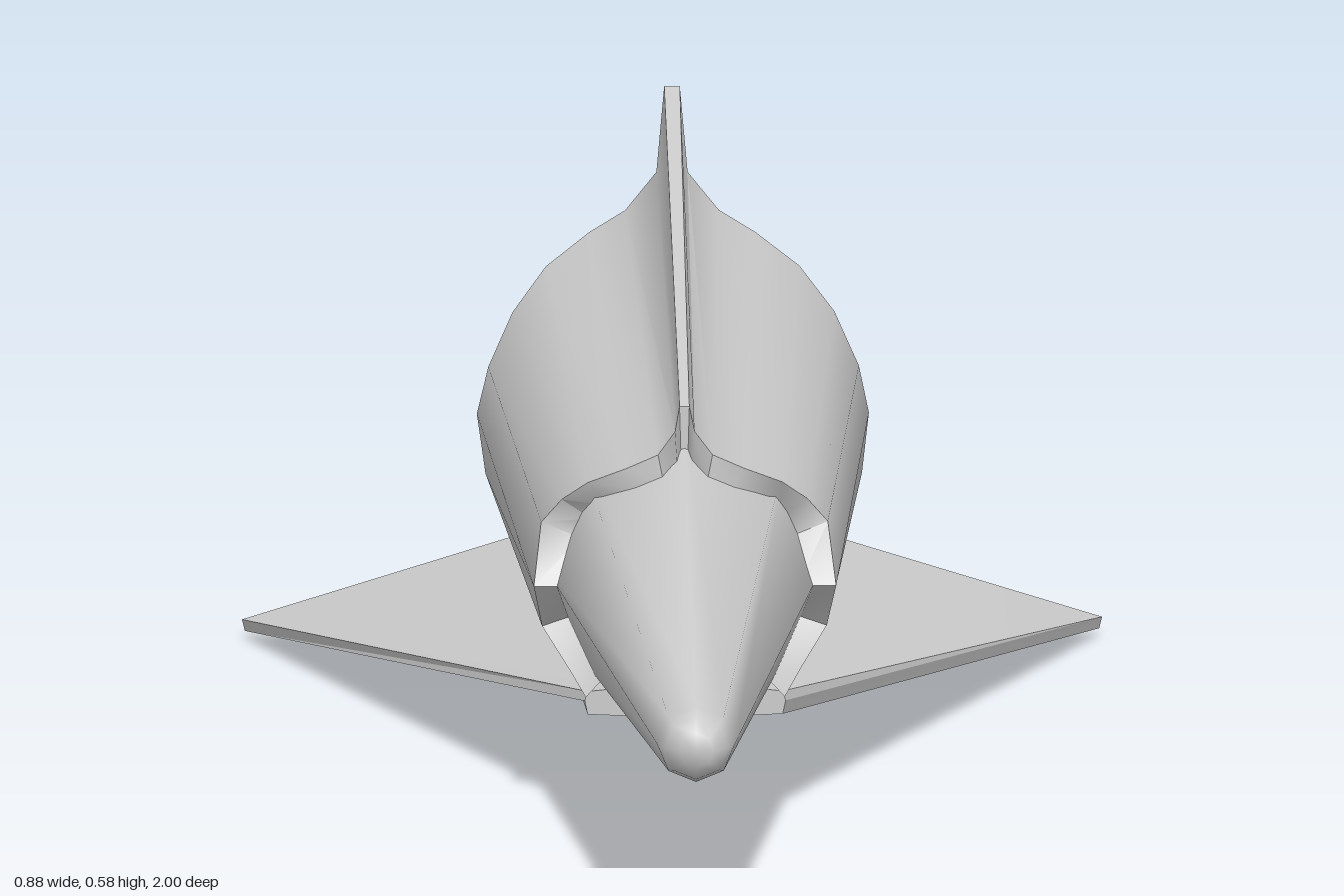
import * as THREE from 'three';
import { toCreasedNormals } from 'three/addons/utils/BufferGeometryUtils.js';

const AXIS = 0.25; // height of the hull's centre line
const material = new THREE.MeshStandardMaterial({ color: 0xcccccc, side: THREE.DoubleSide });

function addMesh(parent, name, geometry) {
  const mesh = new THREE.Mesh(geometry, material);
  mesh.name = name;
  parent.add(mesh);
}

// Skin over rows of points running front to rear, each counterclockwise from the front
function skin(rows, closed, crease) {
  const n = rows[0].length;
  const index = [];
  for (let r = 0; r < rows.length - 1; r++) {
    for (let i = 0; i < (closed ? n : n - 1); i++) {
      const a = r * n + i, b = r * n + (i + 1) % n;
      index.push(a, a + n, b + n, a, b + n, b);
    }
  }
  const geometry = new THREE.BufferGeometry();
  geometry.setAttribute('position', new THREE.Float32BufferAttribute(rows.flat(2), 3));
  geometry.setIndex(index);
  return toCreasedNormals(geometry, crease);
}

const mirror = (row) => row.map(([x, y, z]) => [-x, y, z]).reverse();

// Point drawn in to a given radius around the hull's axis
function inward([x, y, z], radius) {
  const k = radius / Math.hypot(x, y - AXIS);
  return [x * k, AXIS + (y - AXIS) * k, z];
}

const centre = (row) => {
  const c = [0, 1, 2].map((k) => row.reduce((s, p) => s + p[k], 0) / row.length);
  return row.map(() => c);
};

export function createModel() {
  const model = new THREE.Group();
  model.name = 'rocketPlane';

  // Eight-sided hull with rounded nose and tapered tail
  const profile = [[0, -1], [0.1, -1], [0.19, -0.7], [0.155, 0], [0.04, 0.965], [0.033, 0.985], [0.018, 1], [0, 1]];
  const hull = new THREE.LatheGeometry(profile.map(([r, z]) => new THREE.Vector2(r, z)), 8);
  hull.rotateX(Math.PI / 2).translate(0, AXIS, 0);
  addMesh(model, 'hull', toCreasedNormals(hull, 0.85));

  // Shell wrapped over the hull with a blended tail fin and notched ends,
  // from wing root up to fin tip
  const frontHalf = [
    [0.102, 0.138, 0.22], [0.118, 0.16, 0.19], [0.146, 0.2, 0.16], [0.155, 0.25, 0.2],
    [0.147, 0.31, 0.165], [0.126, 0.335, 0.17], [0.1, 0.36, 0.205], [0.06, 0.378, 0.22],
    [0.028, 0.392, 0.22], [0.01, 0.41, 0.19], [0.005, 0.43, 0.16],
  ];
  const rearHalf = [
    [0.142, 0.11, -0.66], [0.167, 0.14, -0.6], [0.193, 0.2, -0.58], [0.201, 0.25, -0.64],
    [0.19, 0.31, -0.59], [0.165, 0.365, -0.6], [0.13, 0.4, -0.66], [0.085, 0.427, -0.7],
    [0.048, 0.45, -0.7], [0.016, 0.49, -0.7], [0.008, 0.58, -0.7],
  ];
  const front = [...frontHalf, ...mirror(frontHalf)];
  const rear = [...rearHalf, ...mirror(rearHalf)];
  addMesh(model, 'shellWithFin', skin([
    front.map((p) => inward(p, 0.116)), front, rear, rear.map((p) => inward(p, 0.163)),
  ], false, 0.75));

  // Swept delta wings with a keel along the inner lower edge
  const wingFront = [[0.055, 0.116], [0.1, 0.118], [0.103, 0.132], [0.1, 0.142], [0.062, 0.146]]
    .map(([x, y]) => [x, y, 0.21]);
  const wingRear = [[0.045, 0.075], [0.112, 0.002], [0.438, 0.01], [0.441, 0.022], [0.1, 0.128]]
    .map(([x, y]) => [x, y, -0.7]);
  const wingRows = [centre(wingFront), wingFront, wingRear, centre(wingRear)];
  addMesh(model, 'leftWing', skin(wingRows, true, 0.3));
  addMesh(model, 'rightWing', skin(wingRows.map(mirror), true, 0.3));

  return model;
}
